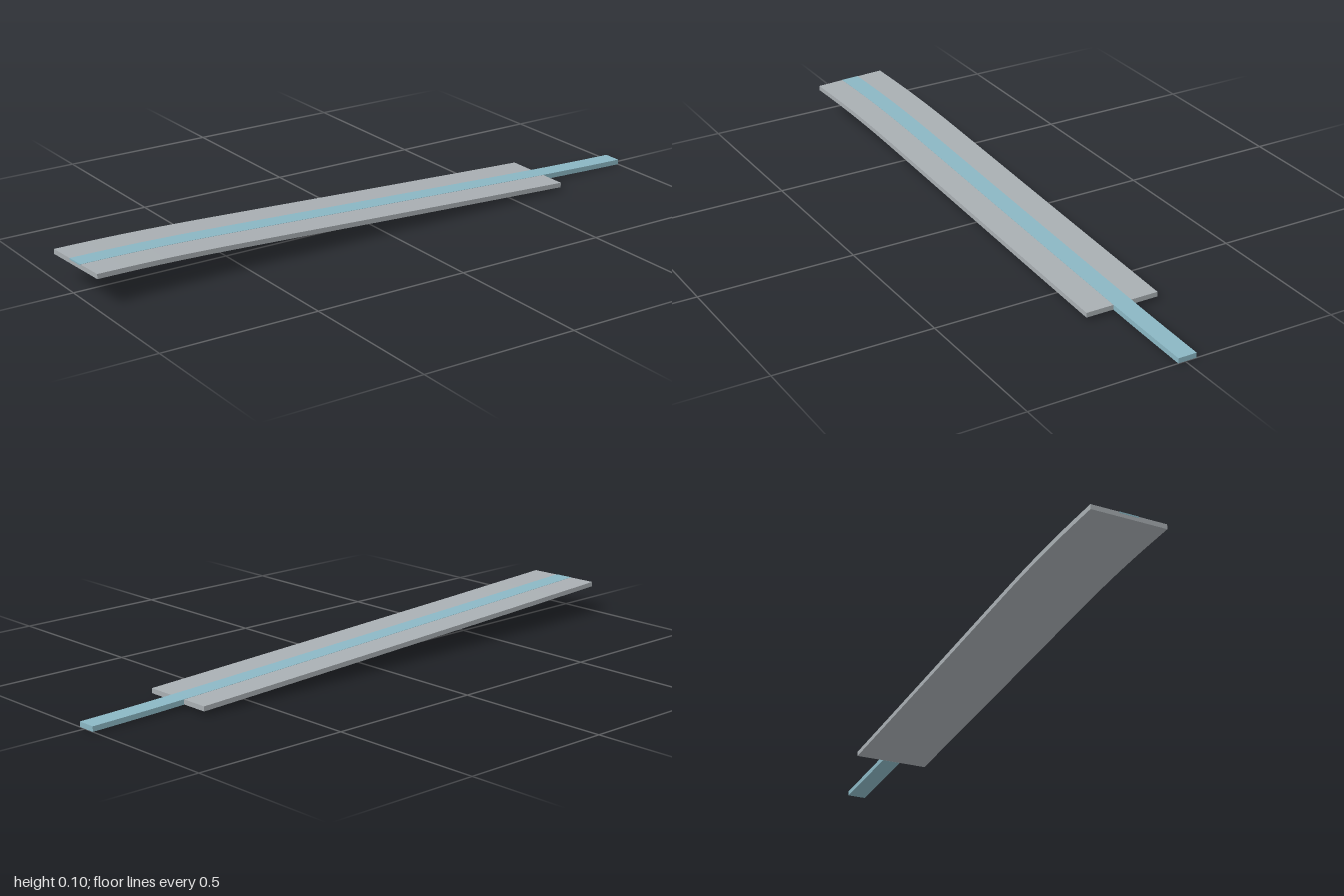
import * as THREE from 'three';

// Height of the deck surface along x, as a gentle ramp
const profile = new THREE.SplineCurve([
  [-1.01, 0.0973], [-0.8, 0.0912], [-0.6, 0.0832], [-0.3, 0.0695],
  [0, 0.0555], [0.35, 0.0398], [0.68, 0.0255], [0.84, 0.0198], [1, 0.0155],
].map(([x, y]) => new THREE.Vector2(x, y)));
const samples = profile.getPoints(320);

function deckHeight(x) {
  let i = 1;
  while (i < samples.length - 1 && samples[i].x < x) i++;
  const a = samples[i - 1], b = samples[i];
  return a.y + (b.y - a.y) * (x - a.x) / (b.x - a.x);
}

// Bends a long box along the ramp; the far end also curves sideways toward +z
function sweptSlab(name, x0, x1, width, top, bottom, material) {
  const geo = new THREE.BoxGeometry(x1 - x0, top - bottom, width, 64, 1, 1);
  geo.translate((x0 + x1) / 2, (top + bottom) / 2, 0);
  const p = geo.attributes.position;
  for (let i = 0; i < p.count; i++) {
    const x = p.getX(i), side = p.getZ(i);
    const t = Math.max(0, (-0.5 - x) / 0.5);
    const slope = -0.06 * t;
    p.setXYZ(i, x - slope * side, deckHeight(x) + p.getY(i), -0.007 + 0.015 * t * t + side);
  }
  geo.computeVertexNormals();
  const mesh = new THREE.Mesh(geo, material);
  mesh.name = name;
  return mesh;
}

export function createModel() {
  const concrete = new THREE.MeshStandardMaterial({ name: 'concreteGrey', color: 0xa8aeb2 });
  const lane = new THREE.MeshStandardMaterial({ name: 'paleBlue', color: 0x8ab6c3 });

  const model = new THREE.Group();
  model.name = 'ramp';
  // Wide deck
  model.add(sweptSlab('deck', -0.993, 0.68, 0.24, 0, -0.0152, concrete));
  // Narrow strip lying flush on the deck
  model.add(sweptSlab('centreStrip', -0.9935, 0.68, 0.06, 0.0006, -0.004, lane));
  // Strip continuing past the end of the deck
  model.add(sweptSlab('stripExtension', 0.68, 1, 0.06, 0.0006, -0.0155, lane));
  return model;
}
